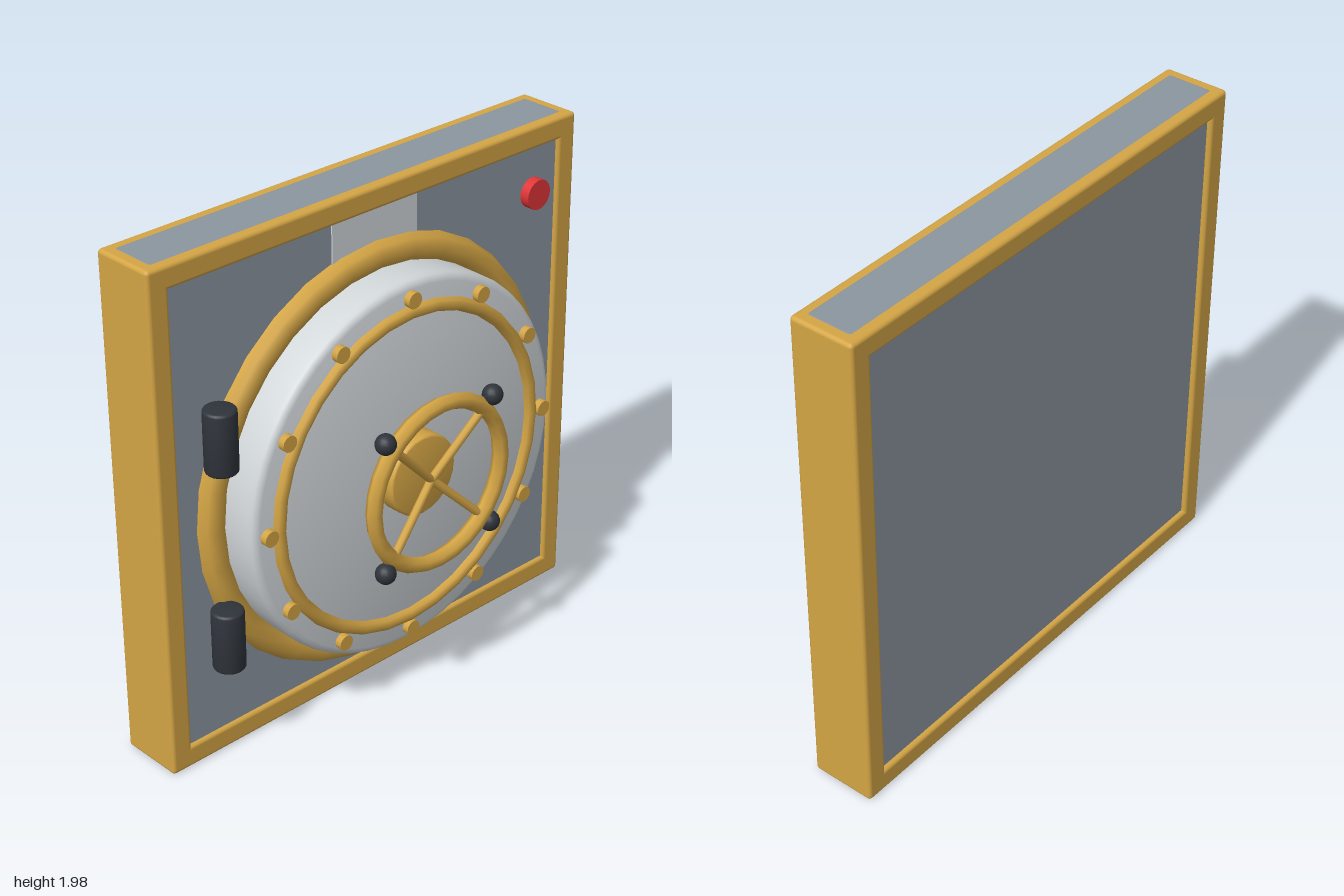
import * as THREE from 'three';
import { RoundedBoxGeometry } from 'three/addons/geometries/RoundedBoxGeometry.js';
import { toCreasedNormals } from 'three/addons/utils/BufferGeometryUtils.js';

const mat = (name, color) => new THREE.MeshStandardMaterial({ name, color });

export function createModel() {
  const model = new THREE.Group();
  model.name = 'vaultDoor';
  const gold = mat('gold', 0xd4a545);
  const steel = mat('steel', 0x8c96a0);
  const silver = mat('silver', 0xd2d7da);
  const black = mat('black', 0x2f343b);
  const red = mat('red', 0xe03537);

  const add = (name, geometry, material, x, y, z, parent = model) => {
    const mesh = new THREE.Mesh(geometry, material);
    mesh.name = name;
    mesh.position.set(x, y, z);
    parent.add(mesh);
    return mesh;
  };

  // Cylinder with rounded rims, along y and centred
  const roundedCylinder = (r, h, bevel, sides) => {
    const pts = [new THREE.Vector2(0, -h / 2)];
    for (const [side, start] of [[-1, -Math.PI / 2], [1, 0]]) {
      for (let i = 0; i <= 3; i++) {
        const a = start + (i / 3) * Math.PI / 2;
        pts.push(new THREE.Vector2(r - bevel + bevel * Math.cos(a), side * (h / 2 - bevel) + bevel * Math.sin(a)));
      }
    }
    pts.push(new THREE.Vector2(0, h / 2));
    return toCreasedNormals(new THREE.LatheGeometry(pts, sides), 0.6);
  };
  // Disc facing the front, spanning z0 to z1
  const disc = (name, r, z0, z1, bevel, sides, material, x, y) => {
    const g = bevel ? roundedCylinder(r, z1 - z0, bevel, sides) : new THREE.CylinderGeometry(r, r, z1 - z0, sides);
    g.rotateX(Math.PI / 2);
    return add(name, g, material, x, y, (z0 + z1) / 2);
  };

  const H = 1.974, CY = 0.935, BAR = 0.088, DEPTH = 0.258, FZ = -0.175;

  // Square frame of four rounded bars
  for (const s of [-1, 1]) {
    add('frameSideBar', new RoundedBoxGeometry(BAR, H, DEPTH, 3, 0.015), gold, s * (1 - BAR / 2), H / 2, FZ);
    add('frameCrossBar', new RoundedBoxGeometry(2, BAR, DEPTH, 3, 0.015), gold, 0, H / 2 + s * (H - BAR) / 2, FZ);
  }

  // Rounded wall panel, its upper face showing along the top of the frame
  add('wallPanel', new RoundedBoxGeometry(1.96, H - 0.001, 0.224, 3, 0.03), steel, 0, H / 2 + 0.0015, -0.173);
  add('wallStripe', new THREE.BoxGeometry(0.4, 0.69, 0.008), silver, 0, 1.545, -0.06);

  // Door with its surround and trim
  add('doorSurround', new THREE.TorusGeometry(0.78, 0.055, 8, 32), gold, 0, CY, -0.062);
  disc('door', 0.735, -0.1, 0.118, 0.03, 48, silver, 0, CY);
  add('doorTrim', new THREE.TorusGeometry(0.622, 0.026, 8, 32), gold, 0, CY, 0.118);
  for (let i = 0; i < 12; i++) {
    const a = (i * Math.PI) / 6;
    disc('bolt', 0.031, 0.1, 0.145, 0, 12, gold, 0.673 * Math.cos(a), CY + 0.673 * Math.sin(a));
  }
  disc('hub', 0.157, 0.11, 0.192, 0.01, 24, gold, 0, CY);

  // Hand wheel: rim, dished spokes and end knobs
  const wheel = new THREE.Group();
  wheel.name = 'handWheel';
  wheel.position.set(0, CY, 0.266);
  model.add(wheel);
  add('wheelRim', new THREE.TorusGeometry(0.314, 0.031, 6, 28), gold, 0, 0, 0, wheel);
  for (let i = 0; i < 4; i++) {
    const a = Math.PI / 4 + (i * Math.PI) / 2;
    const dir = new THREE.Vector3(Math.cos(a), Math.sin(a), 0);
    const path = new THREE.LineCurve3(new THREE.Vector3(0, 0, -0.036), dir.clone().multiplyScalar(0.315));
    add('wheelSpoke', new THREE.TubeGeometry(path, 1, 0.016, 8), gold, 0, 0, 0, wheel);
    add('wheelKnob', new THREE.SphereGeometry(0.039, 16, 12), black, dir.x * 0.37, dir.y * 0.37, 0.004, wheel);
  }

  // Hinges and button
  for (const y of [0.523, 1.314]) add('hinge', roundedCylinder(0.06, 0.24, 0.01, 20), black, -0.78, y, 0.02);
  disc('button', 0.058, -0.1, -0.022, 0, 24, red, 0.79, 1.713);

  return model;
}
